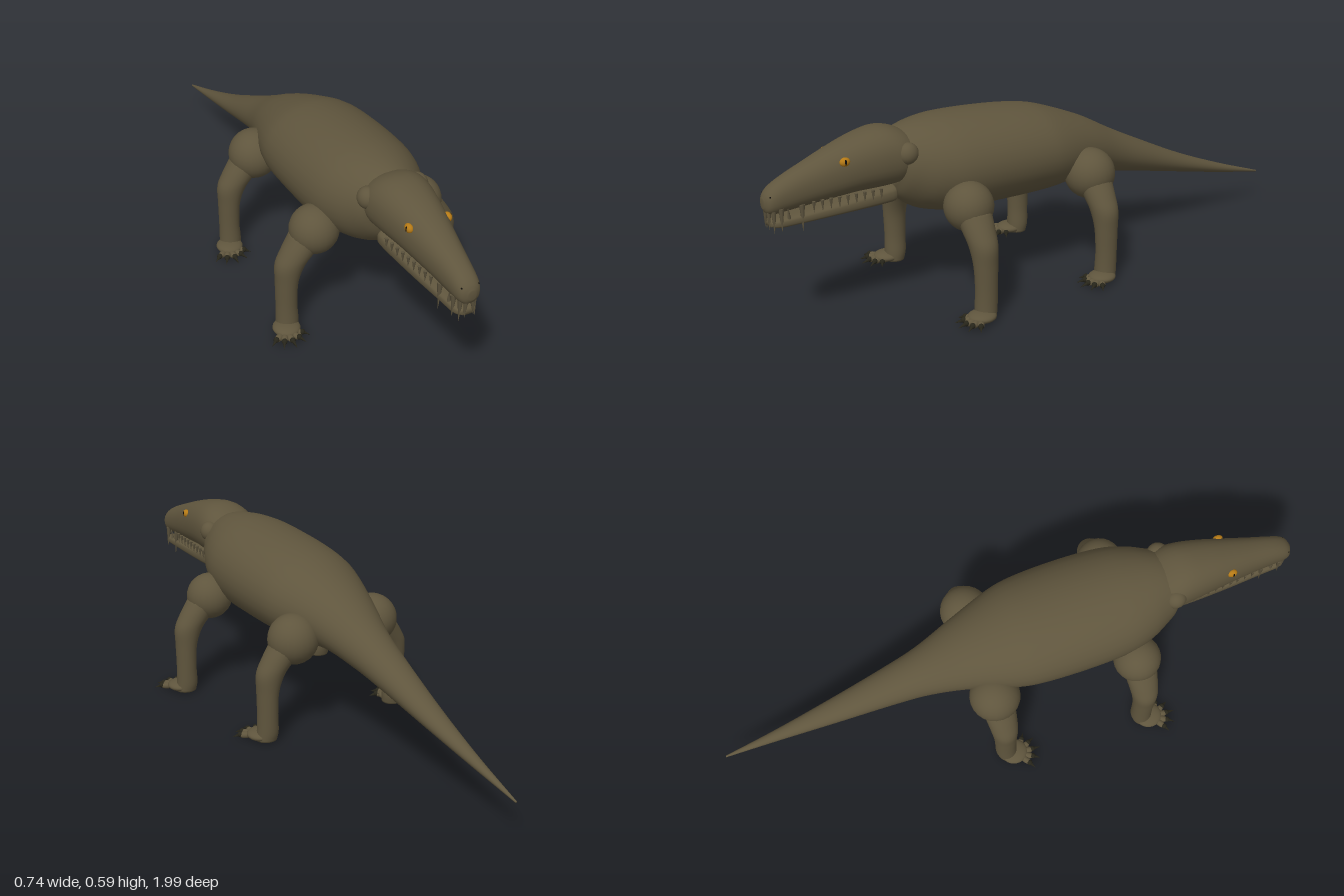
import * as THREE from 'three';

const mat = (name, color) => {
  const m = new THREE.MeshStandardMaterial({ color });
  m.name = name;
  return m;
};

export function createModel() {
  const root = new THREE.Group();
  root.name = 'reptile';
  const skin = mat('olive skin', 0x5f553d);
  const dark = mat('dark claw', 0x27251a);
  const amber = mat('amber eye', 0xb57a16);
  const tooth = mat('dull tooth', 0x5a513c);
  const black = mat('black pupil', 0x0d0b08);

  const add = (name, geo, material, parent = root) => {
    const mesh = new THREE.Mesh(geo, material);
    mesh.name = name;
    parent.add(mesh);
    return mesh;
  };

  const ball = (name, material, [x, y, z], [rx, ry, rz], parent) => {
    const mesh = add(name, new THREE.SphereGeometry(1, 24, 16), material, parent);
    mesh.position.set(x, y, z);
    mesh.scale.set(rx, ry, rz);
    return mesh;
  };

  // Cone whose base sits at one point and tip at another
  const spike = (name, material, from, to, r, parent) => {
    const a = new THREE.Vector3(...from), b = new THREE.Vector3(...to);
    const mesh = add(name, new THREE.ConeGeometry(r, a.distanceTo(b), 8), material, parent);
    mesh.position.copy(a).add(b).multiplyScalar(0.5);
    mesh.quaternion.setFromUnitVectors(new THREE.Vector3(0, 1, 0), b.sub(a).normalize());
    return mesh;
  };

  // Smooth skin through rings [x, y, z, ru, rv]; rings lie across z, or across y when upright
  const loft = (rings, { upright = false, power = 1, steps = 5, sides = 32 } = {}) => {
    const mid = new THREE.CatmullRomCurve3(rings.map(r => new THREE.Vector3(r[0], r[1], r[2])), false, 'catmullrom', 0.5);
    const rad = new THREE.CatmullRomCurve3(rings.map(r => new THREE.Vector3(r[3], r[4], 0)), false, 'catmullrom', 0.5);
    const n = (rings.length - 1) * steps;
    const pos = [], idx = [];
    const bend = v => Math.sign(v) * Math.pow(Math.abs(v), power);
    for (let i = 0; i <= n; i++) {
      const c = mid.getPoint(i / n), r = rad.getPoint(i / n);
      const ru = Math.max(r.x, 0.001), rv = Math.max(r.y, 0.001);
      for (let j = 0; j < sides; j++) {
        const a = j / sides * Math.PI * 2, p = bend(Math.cos(a)), q = bend(Math.sin(a));
        if (upright) pos.push(c.x + ru * q, c.y, c.z + rv * p);
        else pos.push(c.x + ru * p, c.y + rv * q, c.z);
        if (i < n) {
          const k = (j + 1) % sides, o = i * sides, u = o + sides;
          idx.push(o + j, o + k, u + j, o + k, u + k, u + j);
        }
      }
    }
    // End caps
    const s = pos.length / 3, first = mid.getPoint(0), last = mid.getPoint(1);
    pos.push(first.x, first.y, first.z, last.x, last.y, last.z);
    for (let j = 0; j < sides; j++) {
      const k = (j + 1) % sides, o = n * sides;
      idx.push(s, k, j, s + 1, o + j, o + k);
    }
    const g = new THREE.BufferGeometry();
    g.setAttribute('position', new THREE.Float32BufferAttribute(pos, 3));
    g.setIndex(idx);
    g.computeVertexNormals();
    return g;
  };

  // Profile rows [z, top, bottom, half width] to rings
  const profile = rows => rows.map(([z, t, b, w]) => [0, (t + b) / 2, z, w, (t - b) / 2]);

  // Trunk running into the long tapering tail
  add('bodyAndTail', loft(profile([
    [-0.99, 0.118, 0.112, 0.003], [-0.8, 0.185, 0.15, 0.02], [-0.6, 0.265, 0.195, 0.042],
    [-0.4, 0.36, 0.24, 0.065], [-0.28, 0.42, 0.265, 0.084], [-0.15, 0.49, 0.288, 0.122],
    [0, 0.55, 0.277, 0.172], [0.1, 0.573, 0.275, 0.187], [0.25, 0.588, 0.277, 0.19],
    [0.38, 0.594, 0.28, 0.182], [0.46, 0.59, 0.295, 0.16], [0.52, 0.58, 0.32, 0.13],
    [0.56, 0.565, 0.36, 0.105], [0.575, 0.55, 0.4, 0.07],
  ])), skin);

  // Skull and lower jaw
  add('head', loft(profile([
    [0.5, 0.55, 0.43, 0.08], [0.56, 0.583, 0.41, 0.1], [0.62, 0.594, 0.405, 0.097],
    [0.7, 0.58, 0.405, 0.084], [0.78, 0.555, 0.4, 0.069], [0.86, 0.525, 0.395, 0.055],
    [0.93, 0.497, 0.39, 0.045], [0.97, 0.476, 0.388, 0.039], [0.99, 0.458, 0.394, 0.03],
    [1.0, 0.44, 0.41, 0.012],
  ]), { power: 0.9 }), skin);
  add('lowerJaw', loft(profile([
    [0.583, 0.405, 0.36, 0.055], [0.6, 0.412, 0.354, 0.068], [0.75, 0.395, 0.35, 0.058],
    [0.9, 0.38, 0.346, 0.042], [0.96, 0.376, 0.346, 0.036], [0.985, 0.37, 0.352, 0.022],
  ]), { power: 0.65 }), skin);

  for (const s of [1, -1]) {
    const side = s > 0 ? 'left' : 'right';
    ball(side + 'NeckBulge', skin, [s * 0.085, 0.515, 0.555], [0.032, 0.035, 0.035]);

    // Eye with slit pupil
    ball(side + 'Eye', amber, [s * 0.064, 0.523, 0.757], [0.012, 0.014, 0.017]);
    ball(side + 'Pupil', black, [s * 0.0735, 0.524, 0.759], [0.003, 0.009, 0.004]);
    ball(side + 'Nostril', black, [s * 0.027, 0.449, 0.984], [0.003, 0.003, 0.003]);

    // Fangs, then the small rows of teeth
    for (const [x, z, tip] of [[0.036, 0.89, 0.322], [0.032, 0.955, 0.335], [0.022, 0.975, 0.33], [0.01, 0.985, 0.345]])
      spike(side + 'Fang', tooth, [s * x, 0.41, z], [s * (x + 0.005), tip, z + 0.003], 0.009);
    spike(side + 'LowerFang', tooth, [s * 0.03, 0.365, 0.93], [s * 0.034, 0.415, 0.935], 0.007);
    for (let i = 0; i < 9; i++) {
      const z = 0.64 + i * 0.027, x = 0.066 - i * 0.0026;
      spike(side + 'UpperTooth', tooth, [s * x, 0.415, z], [s * x, 0.378, z], 0.006);
    }

    // Legs: the hind pair repeats the front pair, shifted back and inward
    for (const [end, dx, dz, r] of [['front', 0, 0, 0.079], ['hind', -0.025, -0.485, 0.084]]) {
      const leg = new THREE.Group();
      leg.name = end + side[0].toUpperCase() + side.slice(1) + 'Leg';
      leg.position.set(s * dx, 0, dz);
      root.add(leg);
      ball('upperLeg', skin, [s * 0.182, 0.342, 0.402], [r, r, r], leg);
      add('lowerLeg', loft([
        [0.283, 0.008, 0.412, 0.036, 0.034], [0.28, 0.04, 0.408, 0.036, 0.036],
        [0.281, 0.1, 0.406, 0.034, 0.036], [0.279, 0.18, 0.406, 0.037, 0.039],
        [0.267, 0.24, 0.406, 0.049, 0.045], [0.238, 0.285, 0.405, 0.057, 0.051],
        [0.2, 0.34, 0.402, 0.058, 0.058],
      ].map(q => [s * q[0], ...q.slice(1)]), { upright: true, sides: 24 }), skin, leg);
      ball('foot', skin, [s * 0.294, 0.021, 0.432], [0.044, 0.018, 0.046], leg);

      // Five splayed toes with claws
      for (let i = -2; i <= 2; i++) {
        const a = i * 0.5, sx = Math.sin(a), cz = Math.cos(a);
        const at = (d, y) => [s * (0.303 + sx * d), y, 0.442 + cz * d];
        const toe = ball('toe', skin, at(0.036, 0.015), [0.011, 0.011, 0.022], leg);
        toe.rotation.y = s * a;
        ball('clawBase', dark, at(0.053, 0.017), [0.009, 0.009, 0.009], leg);
        spike('claw', dark, at(0.05, 0.018), at(0.084 - Math.abs(i) * 0.003, 0.008), 0.008, leg);
      }
    }
  }
  return root;
}
